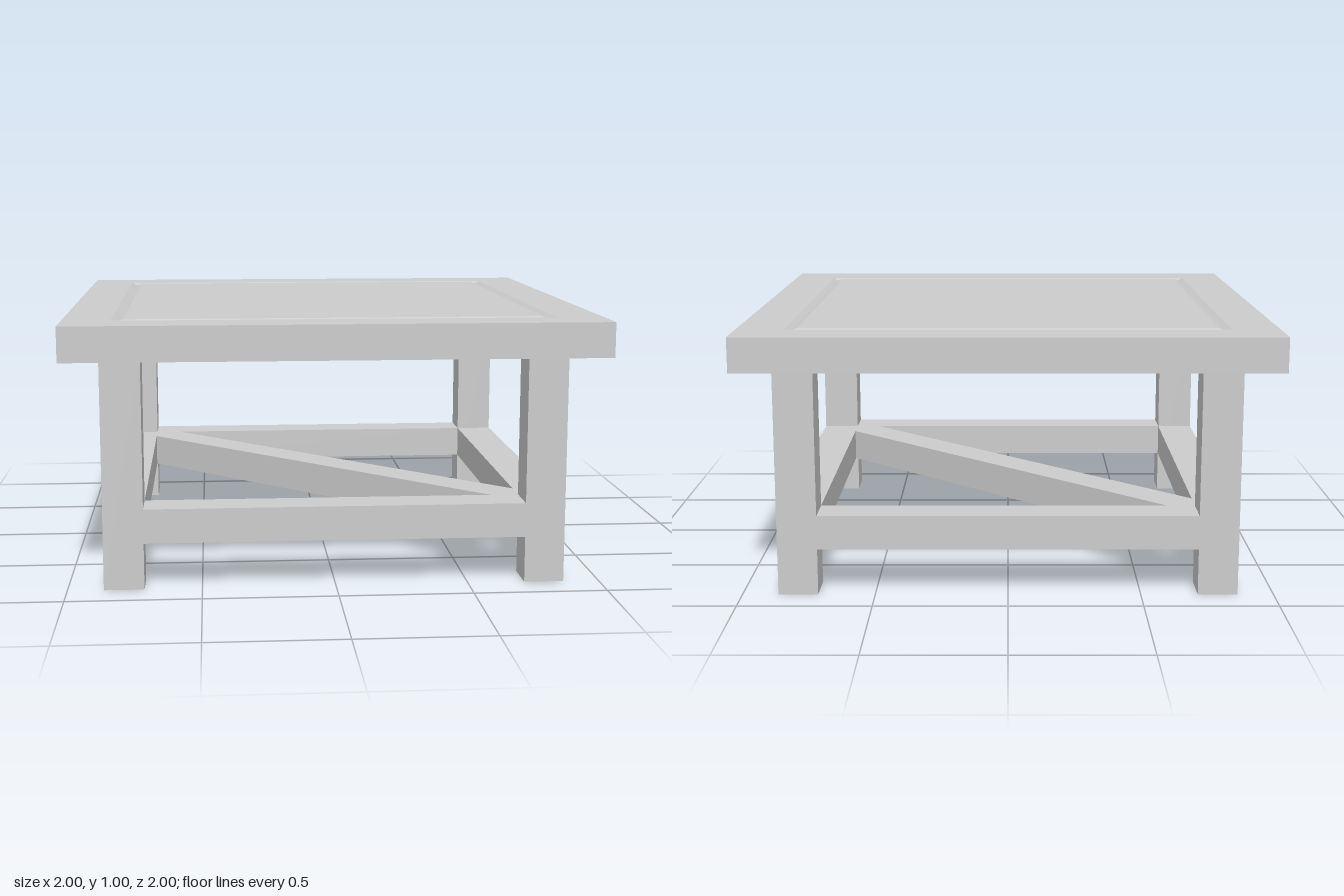
import * as THREE from 'three';

const material = new THREE.MeshStandardMaterial({ color: 0xcccccc, flatShading: true });

const LEG = 0.15;          // leg and rail thickness
const LEG_POS = 0.79;      // leg centre from the middle
const TOP_Y = 0.87;        // underside of the tabletop
const RAIL_H = 0.13;
const RAIL_Y = 0.24;       // rail centre height

function addBox(parent, name, size, position, turnY = 0) {
  const mesh = new THREE.Mesh(new THREE.BoxGeometry(...size), material);
  mesh.name = name;
  mesh.position.set(...position);
  mesh.rotation.y = turnY;
  parent.add(mesh);
}

// Square slab from a half profile [half width, height], turned in four sides
function squareSlab(profile) {
  const points = profile.map(([r, y]) => new THREE.Vector2(r * Math.SQRT2, y));
  const geometry = new THREE.LatheGeometry(points, 4, Math.PI / 4).toNonIndexed();
  geometry.computeVertexNormals();
  return geometry;
}

export function createModel() {
  const table = new THREE.Group();
  table.name = 'table';

  // Tabletop with a shallow V groove framing the centre panel
  const top = new THREE.Mesh(squareSlab([
    [0, TOP_Y], [1, TOP_Y], [1, 1], [0.822, 1], [0.8, 0.99], [0.778, 1], [0, 1],
  ]), material);
  top.name = 'tabletop';
  table.add(top);

  // Four square legs
  for (const [side, x] of [['Left', LEG_POS], ['Right', -LEG_POS]]) {
    for (const [end, z] of [['front', LEG_POS], ['back', -LEG_POS]]) {
      addBox(table, `${end}${side}Leg`, [LEG, TOP_Y, LEG], [x, TOP_Y / 2, z]);
    }
  }

  // Rails between the legs, flush with them
  const span = 2 * LEG_POS - LEG;
  for (const [name, s] of [['front', 1], ['back', -1]]) {
    addBox(table, `${name}Rail`, [span, RAIL_H, LEG], [0, RAIL_Y, s * LEG_POS]);
  }
  for (const [name, s] of [['left', 1], ['right', -1]]) {
    addBox(table, `${name}Rail`, [LEG, RAIL_H, span], [s * LEG_POS, RAIL_Y, 0]);
  }

  // Single diagonal brace from the front left leg to the back right leg
  addBox(table, 'diagonalBrace', [2 * LEG_POS * Math.SQRT2, RAIL_H, LEG],
    [0, RAIL_Y, 0], -Math.PI / 4);

  return table;
}
